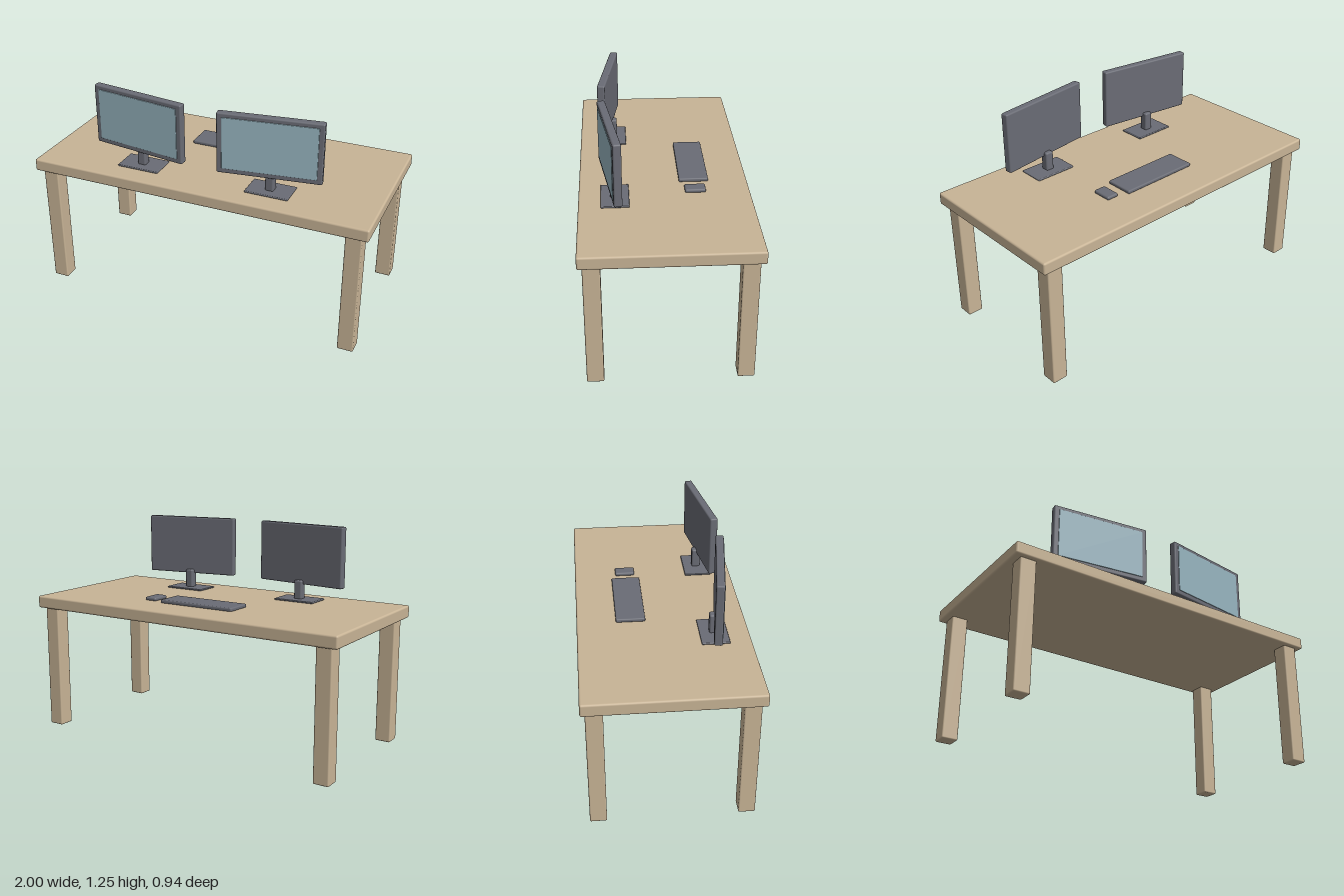
import * as THREE from 'three';
import { RoundedBoxGeometry } from 'three/addons/geometries/RoundedBoxGeometry.js';

const material = (name, color) => {
  const m = new THREE.MeshStandardMaterial({ color });
  m.name = name;
  return m;
};

export function createModel() {
  const wood = material('wood', 0xc8b496);
  const plastic = material('dark grey plastic', 0x6a6c75);
  const glass = material('screen blue', 0x97b4bf);

  const model = new THREE.Group();
  model.name = 'desk';

  // Softened box given by its size and centre
  const block = (parent, name, mat, [w, h, d], [x, y, z], radius) => {
    const mesh = new THREE.Mesh(new RoundedBoxGeometry(w, h, d, 3, radius), mat);
    mesh.name = name;
    mesh.position.set(x, y, z);
    parent.add(mesh);
    return mesh;
  };

  // Table
  const topY = 0.806;
  block(model, 'tableTop', wood, [2, 0.072, 0.945], [0, 0.77, 0], 0.011);
  for (const sx of [-1, 1]) {
    for (const sz of [-1, 1]) {
      block(model, 'leg', wood, [0.092, 0.742, 0.092], [sx * 0.915, 0.371, sz * 0.402], 0.008);
    }
  }

  // Monitors, each turned slightly outward
  for (const side of [-1, 1]) {
    const monitor = new THREE.Group();
    monitor.name = side > 0 ? 'leftMonitor' : 'rightMonitor';
    monitor.position.set(side * 0.39, topY, 0);
    model.add(monitor);

    block(monitor, 'standBase', plastic, [0.252, 0.011, 0.156], [0, 0.0045, 0.274], 0.005);
    block(monitor, 'standNeck', plastic, [0.05, 0.115, 0.05], [0, 0.062, 0.275], 0.01);

    const panel = new THREE.Group();
    panel.name = 'panel';
    panel.position.set(0, 0.271, 0.2975);
    panel.rotation.y = side * THREE.MathUtils.degToRad(8);
    monitor.add(panel);
    block(panel, 'casing', plastic, [0.583, 0.354, 0.045], [0, 0, 0], 0.009);
    block(panel, 'screen', glass, [0.525, 0.302, 0.008], [0, 0.002, 0.0215], 0.003);
  }

  // Keyboard and mouse
  block(model, 'keyboard', plastic, [0.486, 0.022, 0.166], [-0.003, topY + 0.009, -0.17], 0.008);
  block(model, 'mouse', plastic, [0.075, 0.022, 0.116], [0.333, topY + 0.009, -0.17], 0.01);

  return model;
}
